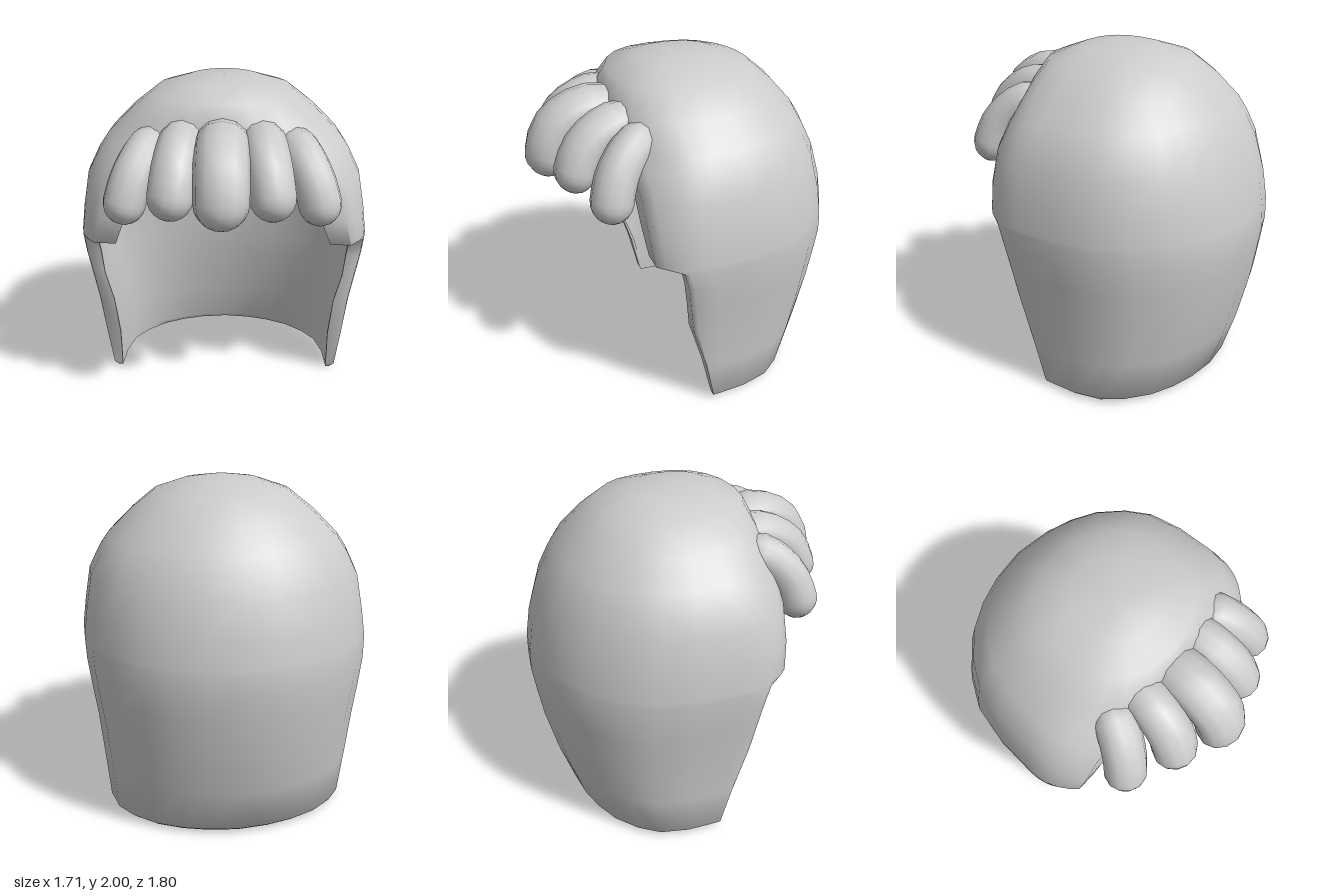
import * as THREE from 'three';
import { mergeVertices, toCreasedNormals } from 'three/addons/utils/BufferGeometryUtils.js';

const material = new THREE.MeshStandardMaterial({ color: 0xcccccc });
const FRONT_STEPS = 5;
const POWER = 0.87; // below 1 makes the front slightly squarer than an ellipse
// Unit plan of the back half, from the side to just before the middle
const BACK_PLAN = [[1, 0], [0.985, 0.26], [0.925, 0.5], [0.81, 0.665], [0.64, 0.815], [0.45, 0.91], [0.25, 0.97]];

// Sections: height, half width, back depth, z of widest point,
// front radius, z of the front cut, half width of the face opening
const OUTER = [
  [0.00, 0.715, 0.655, 0.00, 0.45, 0.02, 0.69],
  [0.03, 0.745, 0.695, 0.00, 0.45, 0.03, 0.69],
  [0.30, 0.77, 0.78, 0.02, 0.45, 0.09, 0.68],
  [0.60, 0.80, 0.85, 0.04, 0.45, 0.18, 0.69],
  [0.80, 0.83, 0.88, 0.06, 0.45, 0.21, 0.73],
  [0.95, 0.85, 0.90, 0.08, 0.47, 0.23, 0.74],
  [1.07, 0.857, 0.895, 0.10, 0.50, 0.26, 0.75],
  [1.09, 0.857, 0.892, 0.10, 0.50, 0.39, 0.62],
  [1.25, 0.835, 0.865, 0.10, 0.50, 0.41, 0.56],
  [1.45, 0.80, 0.80, 0.08, 0.48, 0.42, 0.45],
  [1.58, 0.735, 0.735, 0.06, 0.45, 0.43, 0.30],
  [1.66, 0.68, 0.685, 0.05, 0.42, 0.43, 0],
  [1.80, 0.54, 0.56, 0.04, 0.40, 0.44, 0],
  [1.91, 0.40, 0.43, 0.03, 0.36, 0.43, 0],
  [1.97, 0.22, 0.26, 0.03, 0.20, 0.43, 0],
  [2.00, 0, -0.03, 0.03, 0, 0.43, 0],
];
// The cavity is thin-walled at the sides and thick at the back and crown
const INNER = [
  [0.00, 0.69, 0.64, 0.00, 0.45, 0.01, 0.69],
  [0.03, 0.69, 0.625, 0.00, 0.45, 0.01, 0.69],
  [0.30, 0.70, 0.555, 0.02, 0.45, 0.07, 0.68],
  [0.60, 0.73, 0.49, 0.04, 0.45, 0.17, 0.69],
  [0.80, 0.765, 0.46, 0.06, 0.45, 0.20, 0.73],
  [0.95, 0.785, 0.45, 0.08, 0.45, 0.21, 0.74],
  [1.07, 0.79, 0.44, 0.10, 0.47, 0.24, 0.75],
  [1.09, 0.79, 0.435, 0.10, 0.47, 0.35, 0.62],
  [1.25, 0.76, 0.40, 0.10, 0.45, 0.36, 0.56],
  [1.45, 0.70, 0.33, 0.10, 0.40, 0.36, 0.45],
  [1.57, 0.60, 0.25, 0.10, 0.35, 0.35, 0.30],
  [1.64, 0.50, 0.18, 0.11, 0.24, 0.35, 0],
  [1.70, 0.38, 0.10, 0.12, 0.18, 0.35, 0],
  [1.74, 0.25, 0.00, 0.12, 0.12, 0.35, 0],
  [1.76, 0.12, -0.08, 0.12, 0.06, 0.35, 0],
  [1.77, 0, -0.12, 0.12, 0, 0.35, 0],
];

// One section from the left front edge, round the back, to the right front edge
function section([y, width, back, zc, front, cut, open]) {
  const z0 = Math.min(cut, zc + front);
  const s = front > 0 ? (z0 - zc) / front : 1;
  const start = Math.asin(Math.min(1, Math.pow(s, 1 / POWER)));
  const half = [];
  for (let i = 0; i < FRONT_STEPS; i++) {
    const a = start * (1 - i / FRONT_STEPS);
    half.push([width * Math.pow(Math.max(0, Math.cos(a)), POWER), y, zc + front * Math.pow(Math.sin(a), POWER)]);
  }
  for (const [u, v] of BACK_PLAN) half.push([width * u, y, zc - (back + zc) * v]);
  half.unshift([Math.min(open, half[0][0]), y, z0]);
  const mirrored = half.map(([x, yy, z]) => [-x, yy, z]).reverse();
  return [...half, [0, y, -back], ...mirrored];
}

// Hollow hood: each row is a closed loop of outer and inner section
function hoodGeometry() {
  const loops = OUTER.map((row, i) => [...section(row), ...section(INNER[i]).reverse()]);
  const n = loops[0].length;
  const index = [];
  // The diagonal is mirrored between the two sides
  const quad = (a, b, c, d, flip) => {
    if (flip) index.push(a, b, d, b, c, d);
    else index.push(a, b, c, a, c, d);
  };
  for (let i = 0; i < loops.length - 1; i++) {
    for (let j = 0; j < n; j++) {
      const k = (j + 1) % n;
      const flip = loops[i][j][0] + loops[i][k][0] < 0;
      quad(i * n + j, i * n + k, (i + 1) * n + k, (i + 1) * n + j, flip);
    }
  }
  // Bottom rim between outer and inner wall
  for (let j = 0; j < n / 2 - 1; j++) quad(j, n - 1 - j, n - 2 - j, j + 1, j > n / 4);
  const geometry = new THREE.BufferGeometry();
  geometry.setAttribute('position', new THREE.Float32BufferAttribute(loops.flat(2), 3));
  geometry.setIndex(index);
  return toCreasedNormals(geometry, 1.3);
}

// A capsule bent along a curve; yaw turns its broad side outward
function lockGeometry(points, radius, depth, yaw) {
  const curve = new THREE.CatmullRomCurve3(points.map((p) => new THREE.Vector3(...p)));
  const length = curve.getLength();
  const geometry = new THREE.CapsuleGeometry(radius, length - 2 * radius, 5, 12, 6);
  geometry.deleteAttribute('uv');
  geometry.deleteAttribute('normal');
  const bent = mergeVertices(geometry);
  const pos = bent.attributes.position;
  const ref = new THREE.Vector3(Math.cos(yaw), 0, -Math.sin(yaw));
  const v = new THREE.Vector3();
  for (let i = 0; i < pos.count; i++) {
    v.fromBufferAttribute(pos, i);
    const t = THREE.MathUtils.clamp(v.y / length + 0.5, 0, 1);
    const tangent = curve.getTangentAt(t);
    const side = ref.clone().addScaledVector(tangent, -ref.dot(tangent)).normalize();
    const normal = side.clone().cross(tangent);
    const p = curve.getPointAt(t)
      .addScaledVector(side, v.x)
      .addScaledVector(normal, v.z * depth / radius);
    pos.setXYZ(i, p.x, p.y, p.z);
  }
  bent.computeVertexNormals();
  return bent;
}

export function createModel() {
  const model = new THREE.Group();
  model.name = 'hair';
  const add = (name, geometry) => {
    const mesh = new THREE.Mesh(geometry, material);
    mesh.name = name;
    model.add(mesh);
  };

  add('hood', hoodGeometry());

  // Fringe: a middle lock and two mirrored pairs
  add('middleLock', lockGeometry(
    [[0, 1.67, 0.30], [0, 1.73, 0.52], [0, 1.63, 0.72], [0, 1.355, 0.80]], 0.148, 0.13, 0));
  for (const [label, s] of [['left', 1], ['right', -1]]) {
    add(label + 'InnerLock', lockGeometry(
      [[0.20 * s, 1.67, 0.26], [0.22 * s, 1.715, 0.42], [0.25 * s, 1.62, 0.61], [0.285 * s, 1.375, 0.72]],
      0.128, 0.12, 0.2 * s));
    add(label + 'OuterLock', lockGeometry(
      [[0.37 * s, 1.66, 0.26], [0.41 * s, 1.665, 0.37], [0.49 * s, 1.54, 0.51], [0.56 * s, 1.30, 0.585]],
      0.12, 0.115, 0.6 * s));
  }
  return model;
}
